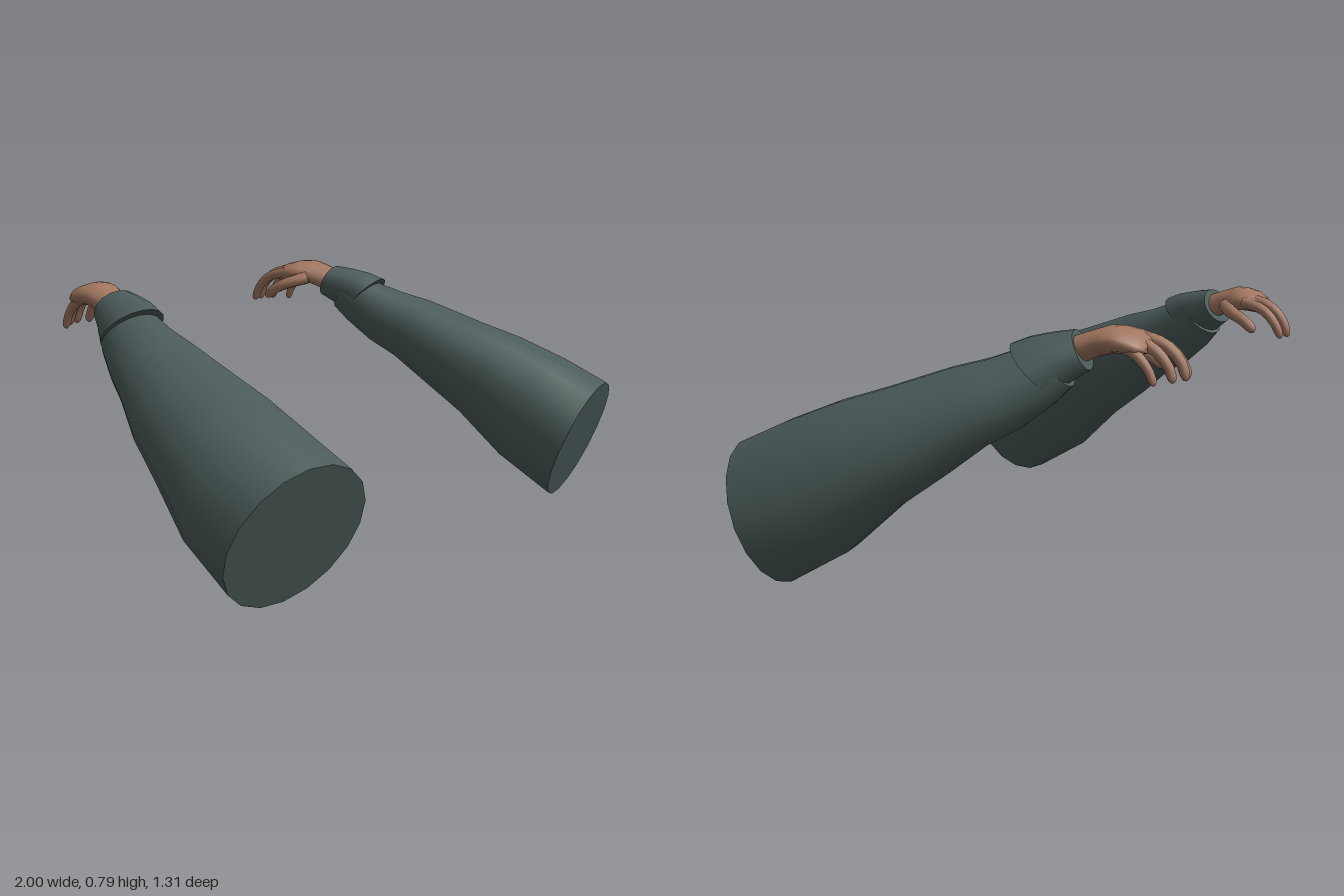
import * as THREE from 'three';

const V = (x, y, z) => new THREE.Vector3(x, y, z);

// Skins a row of elliptical rings {c, u, v}; rings run from the shoulder (+z) to the fingers (-z).
function loft(rings, side, sides) {
  const pos = [], idx = [];
  for (const { c, u, v } of rings) {
    for (let j = 0; j < sides; j++) {
      const a = (j / sides) * Math.PI * 2;
      const p = c.clone().addScaledVector(u, Math.cos(a)).addScaledVector(v, Math.sin(a));
      pos.push(p.x * side, p.y, p.z);
    }
  }
  const tri = (a, b, c) => (side > 0 ? idx.push(a, b, c) : idx.push(a, c, b));
  for (let k = 0; k < rings.length - 1; k++) {
    for (let j = 0; j < sides; j++) {
      const n = (j + 1) % sides, a = k * sides + j, b = k * sides + n;
      tri(a, a + sides, b);
      tri(b, a + sides, b + sides);
    }
  }
  const g = new THREE.BufferGeometry();
  g.setAttribute('position', new THREE.Float32BufferAttribute(pos, 3));
  g.setIndex(idx);
  g.computeVertexNormals();
  return g;
}

const point = (c) => ({ c, u: V(0, 0, 0), v: V(0, 0, 0) });

// Closes both ends; the doubled end rings keep the rims sharp.
function capped(rings) {
  const first = rings[0], last = rings[rings.length - 1];
  return [point(first.c), first, ...rings, last, point(last.c)];
}

// Ring from its top (z, y), bottom (z, y), inner x and outer x.
function clothRing([tz, ty, bz, by, xi, xo]) {
  const half = (xo - xi) / 2;
  return {
    c: V((xi + xo) / 2, (ty + by) / 2, (tz + bz) / 2),
    u: V(half, 0, -half * 0.2),
    v: V(0, (ty - by) / 2, (tz - bz) / 2),
  };
}

const SLEEVE = [
  [0.65, 0.415, 0.475, 0.0, 0.555, 0.998],
  [0.5, 0.485, 0.28, 0.115, 0.548, 0.968],
  [0.34, 0.55, 0.125, 0.26, 0.535, 0.915],
  [0.2, 0.595, -0.01, 0.36, 0.525, 0.86],
  [0.0, 0.665, -0.12, 0.45, 0.515, 0.785],
  [-0.1, 0.692, -0.215, 0.505, 0.505, 0.732],
  [-0.19, 0.725, -0.3, 0.575, 0.493, 0.682],
  [-0.25, 0.742, -0.345, 0.625, 0.484, 0.65],
];
const CUFF = [
  [-0.165, 0.738, -0.305, 0.605, 0.495, 0.69],
  [-0.215, 0.758, -0.335, 0.632, 0.487, 0.665],
  [-0.28, 0.772, -0.36, 0.65, 0.476, 0.64],
  [-0.335, 0.78, -0.388, 0.67, 0.466, 0.616],
];
// Palm sections: centre x, y, z, half width, half height.
const PALM = [
  [0.55, 0.72, -0.33, 0.055, 0.045],
  [0.538, 0.738, -0.385, 0.062, 0.046],
  [0.527, 0.753, -0.425, 0.074, 0.044],
  [0.515, 0.758, -0.465, 0.087, 0.038],
  [0.508, 0.753, -0.505, 0.089, 0.033],
  [0.5, 0.742, -0.535, 0.078, 0.024],
  [0.498, 0.735, -0.55, 0.05, 0.012],
];
const DIGITS = {
  indexFinger: [0.019, [0.437, 0.757, -0.49], [0.423, 0.735, -0.565], [0.417, 0.69, -0.61], [0.417, 0.645, -0.63]],
  middleFinger: [0.02, [0.473, 0.765, -0.5], [0.465, 0.743, -0.575], [0.46, 0.695, -0.623], [0.46, 0.645, -0.64]],
  ringFinger: [0.019, [0.515, 0.763, -0.495], [0.512, 0.737, -0.56], [0.508, 0.693, -0.602], [0.508, 0.645, -0.62]],
  littleFinger: [0.017, [0.562, 0.75, -0.48], [0.56, 0.725, -0.53], [0.557, 0.685, -0.565], [0.556, 0.642, -0.583]],
  thumb: [0.023, [0.465, 0.738, -0.415], [0.415, 0.72, -0.46], [0.396, 0.697, -0.51], [0.388, 0.665, -0.548]],
};

// Tapered digit with a rounded tip.
function digitRings([radius, ...pts]) {
  const curve = new THREE.CatmullRomCurve3(pts.map((p) => V(...p)));
  const stops = [0, 0.15, 0.3, 0.45, 0.6, 0.75, 0.88, 0.95, 0.985, 1];
  return stops.map((t) => {
    const tan = curve.getTangentAt(t);
    const tip = t > 0.88 ? Math.sqrt(Math.max(0, 1 - ((t - 0.88) / 0.12) ** 2)) : 1;
    const r = radius * (1 - 0.28 * t) * tip;
    const u = V(1, 0, 0).addScaledVector(tan, -tan.x).normalize();
    const v = tan.clone().negate().cross(u);
    return { c: curve.getPointAt(t), u: u.multiplyScalar(r), v: v.multiplyScalar(r) };
  });
}

export function createModel() {
  const cloth = new THREE.MeshStandardMaterial({ color: 0x4b5b5a });
  cloth.name = 'greyGreenCloth';
  const skin = new THREE.MeshStandardMaterial({ color: 0xa0755f });
  skin.name = 'skin';

  const model = new THREE.Group();
  model.name = 'armPair';
  for (const [label, side] of [['left', 1], ['right', -1]]) {
    const arm = new THREE.Group();
    arm.name = label + 'Arm';
    const add = (parent, name, rings, material, sides) => {
      const mesh = new THREE.Mesh(loft(rings, side, sides), material);
      mesh.name = name;
      parent.add(mesh);
    };

    // Sleeve and overlapping cuff
    add(arm, 'sleeve', capped(SLEEVE.map(clothRing)), cloth, 18);
    add(arm, 'cuff', capped(CUFF.map(clothRing)), cloth, 18);

    // Hand, bent down from the wrist
    const hand = new THREE.Group();
    hand.name = label + 'Hand';
    const palm = PALM.map(([x, y, z, w, h]) => ({ c: V(x, y, z), u: V(w, 0, 0), v: V(0, h, -h * 0.25) }));
    add(hand, 'palm', capped(palm), skin, 18);
    for (const [name, spec] of Object.entries(DIGITS)) add(hand, name, digitRings(spec), skin, 10);
    arm.add(hand);
    model.add(arm);
  }
  return model;
}
